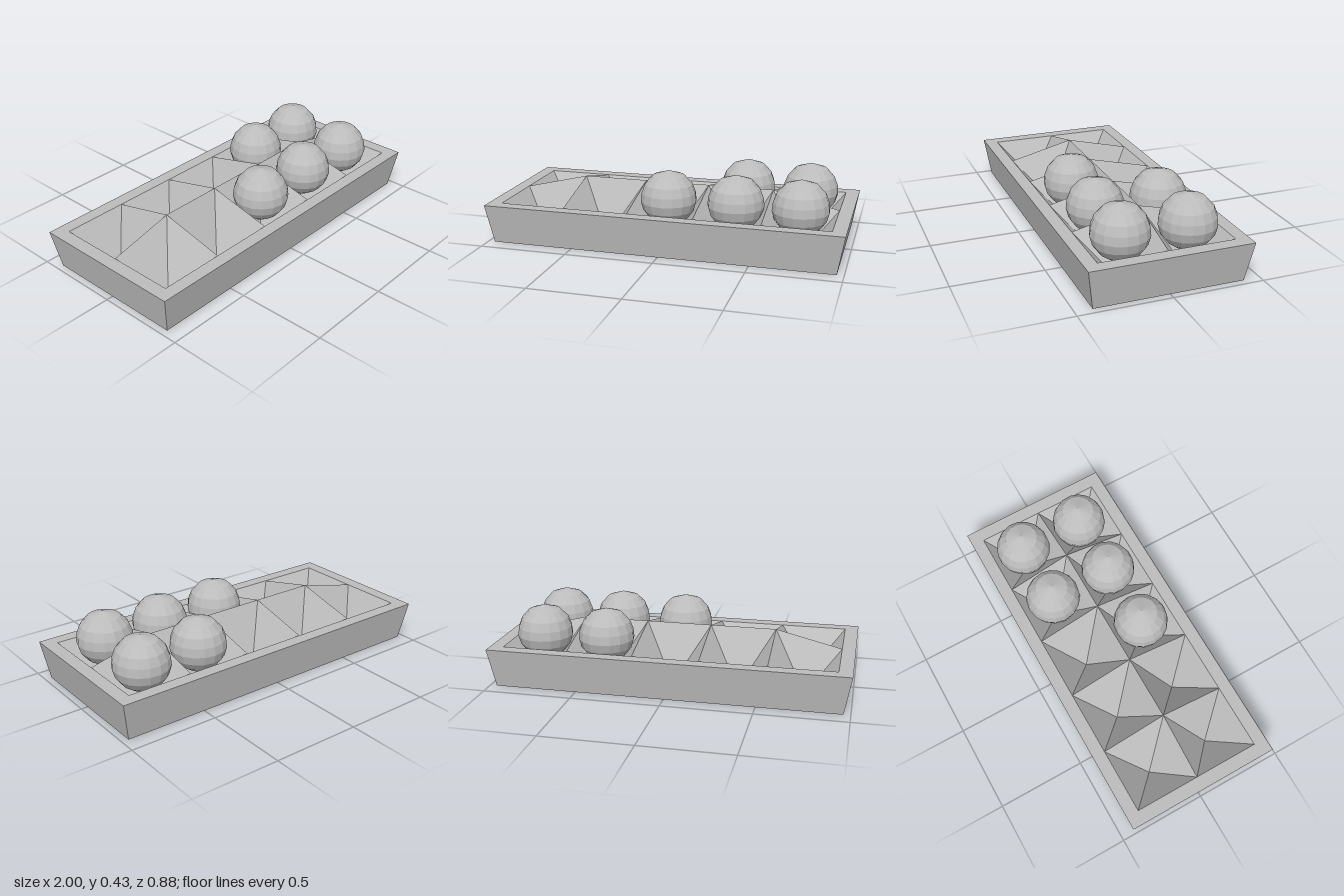
import * as THREE from 'three';

const grey = new THREE.MeshStandardMaterial({ color: 0xbcbcbc, flatShading: true });
grey.name = 'grey';

// Collects triangles and quads (counter-clockwise from outside) into one geometry
function faceBuilder() {
  const pos = [];
  const tri = (a, b, c) => pos.push(...a, ...b, ...c);
  const quad = (a, b, c, d) => { tri(a, b, c); tri(a, c, d); };
  const build = () => {
    const g = new THREE.BufferGeometry();
    g.setAttribute('position', new THREE.Float32BufferAttribute(pos, 3));
    g.computeVertexNormals();
    return g;
  };
  return { tri, quad, build };
}

const RIM = 0.22, RIDGE = 0.31, PIT = 0.01, CELL = 0.37, COLS = 5;

// Corners of a rectangle, counter-clockwise from above
const ring = (x, y, z) => [[-x, y, z], [x, y, z], [x, y, -z], [-x, y, -z]];

// Tapered outer walls, flat rim and base
function trayShell() {
  const f = faceBuilder();
  const base = ring(0.962, 0, 0.408);
  const outer = ring(1, RIM, 0.442);
  const inner = ring(CELL * COLS / 2, RIM, CELL);
  for (let i = 0; i < 4; i++) {
    const j = (i + 1) % 4;
    f.quad(base[i], base[j], outer[j], outer[i]);
    f.quad(outer[i], outer[j], inner[j], inner[i]);
  }
  f.quad(base[3], base[2], base[1], base[0]);
  return f.build();
}

// Inverted pyramid pockets; grid corners inside the tray rise into ridges
function trayPockets() {
  const f = faceBuilder();
  const node = (i, k) => {
    const raised = k === 1 && i > 0 && i < COLS;
    return [(i - COLS / 2) * CELL, raised ? RIDGE : RIM, (k - 1) * CELL];
  };
  for (let i = 0; i < COLS; i++) {
    for (let k = 0; k < 2; k++) {
      const pit = [(i + 0.5 - COLS / 2) * CELL, PIT, (k - 0.5) * CELL];
      const c = [node(i, k + 1), node(i + 1, k + 1), node(i + 1, k), node(i, k)];
      for (let n = 0; n < 4; n++) f.tri(c[n], c[(n + 1) % 4], pit);
    }
  }
  return f.build();
}

export function createModel() {
  const model = new THREE.Group();
  model.name = 'eggTray';
  const add = (name, geometry) => {
    const mesh = new THREE.Mesh(geometry, grey);
    mesh.name = name;
    model.add(mesh);
    return mesh;
  };

  add('trayShell', trayShell());
  add('trayPockets', trayPockets());

  // Faceted eggs, profile from bottom to top
  const profile = [
    [0, 0.115], [0.06, 0.13], [0.108, 0.163], [0.142, 0.208], [0.156, 0.257],
    [0.151, 0.305], [0.132, 0.354], [0.09, 0.4], [0, 0.43],
  ].map(([r, y]) => new THREE.Vector2(r, y));
  const eggGeometry = new THREE.LatheGeometry(profile, 16);
  const spots = [[0, 0.18], [0.38, 0.178], [0.735, 0.178], [0.377, -0.188], [0.738, -0.193]];
  spots.forEach(([x, z], i) => {
    const egg = add('egg' + (i + 1), eggGeometry);
    egg.position.set(x, 0, z);
    egg.rotation.y = i * 0.13;
  });

  return model;
}
